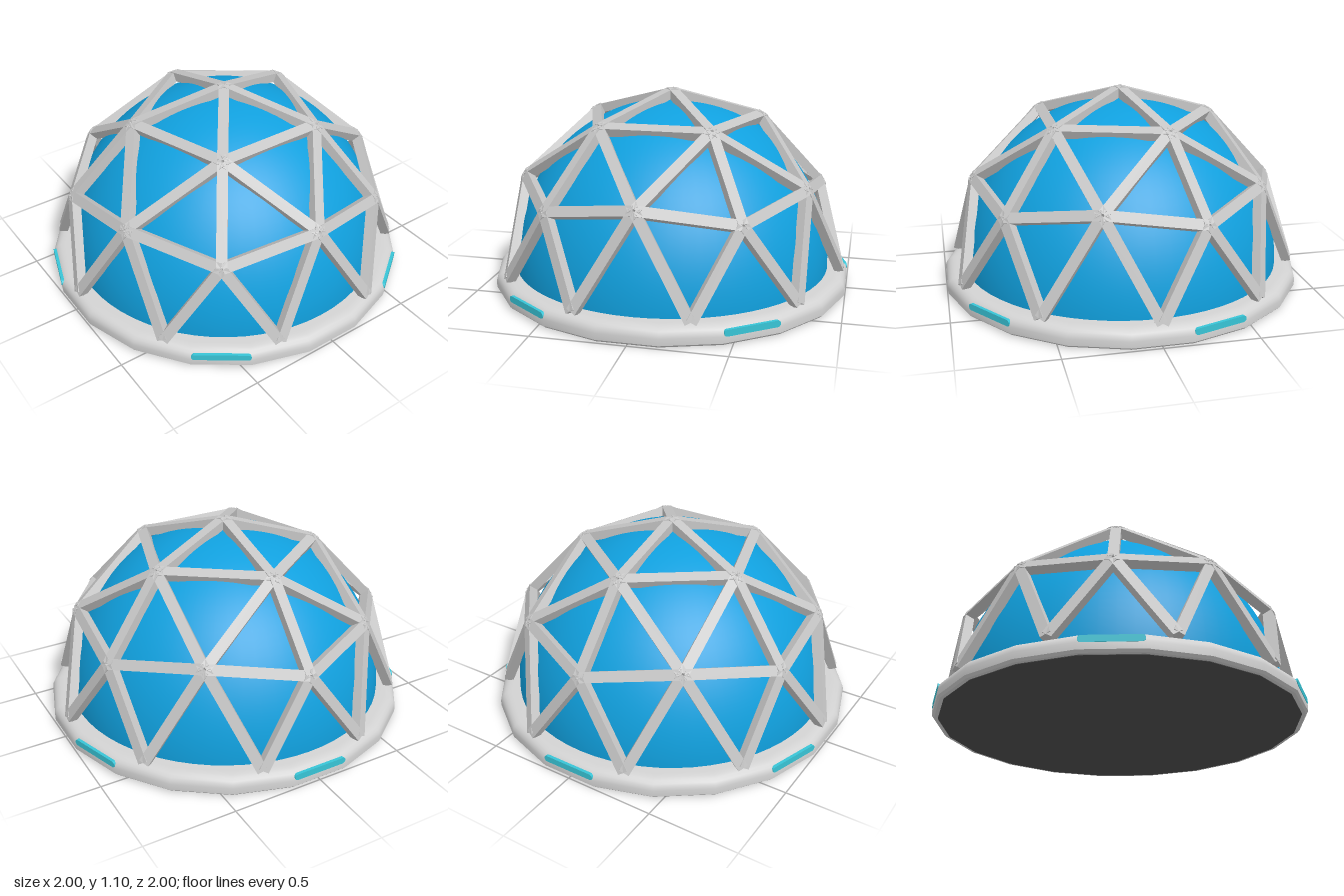
import * as THREE from 'three';
import { toCreasedNormals } from 'three/addons/utils/BufferGeometryUtils.js';

const SIDES = 20;             // sides of the foundation ring
const CENTRE_Y = 0.115;       // height of the dome's centre
const FRAME_R = 0.96;         // radius through the strut joints

const mat = (name, color) => {
  const m = new THREE.MeshStandardMaterial({ color });
  m.name = name;
  return m;
};

export function createModel() {
  const group = new THREE.Group();
  const frameGrey = mat('frame grey', 0xc6c6c6);
  const ringGrey = mat('ring grey', 0xd2d2d2);
  const domeBlue = mat('dome blue', 0x10a0de);
  const lightCyan = mat('light cyan', 0x38c4d6);
  const baseDark = mat('base dark', 0x4c4c4c);

  const add = (name, geometry, material, parent = group) => {
    const mesh = new THREE.Mesh(geometry, material);
    mesh.name = name;
    parent.add(mesh);
    return mesh;
  };

  // Foundation ring: rounded shoulder, flat sides facing the axes
  const k = 1 / Math.cos(Math.PI / SIDES);
  const profile = [[0.84, 0.003], [0.985, 0.003], [0.997, 0.015], [0.998, 0.05], [0.994, 0.068],
    [0.985, 0.083], [0.971, 0.095], [0.953, 0.102], [0.93, 0.105], [0.84, 0.105]]
    .map(([r, y]) => new THREE.Vector2(r * k, y));
  const ring = add('foundationRing',
    toCreasedNormals(new THREE.LatheGeometry(profile, SIDES), 0.6), ringGrey);
  ring.rotation.y = Math.PI / SIDES;

  // Dark underside
  const base = add('baseDisc', new THREE.CylinderGeometry(0.965 * k, 0.965 * k, 0.008, SIDES), baseDark);
  base.position.y = 0.004;
  base.rotation.y = Math.PI / SIDES;

  // Smooth inner dome
  const dome = add('innerDome',
    new THREE.SphereGeometry(1, 64, 32, 0, Math.PI * 2, 0, Math.PI * 0.52), domeBlue);
  dome.scale.set(0.892, 0.92, 0.892);
  dome.position.y = 0.11;

  // Joints of a two-frequency geodesic hemisphere, ring by ring
  const nodes = [new THREE.Vector3(0, FRAME_R, 0)];
  const addNodes = (polar, start, count) => {
    for (let i = 0; i < count; i++) {
      nodes.push(new THREE.Vector3().setFromSphericalCoords(FRAME_R,
        THREE.MathUtils.degToRad(polar), THREE.MathUtils.degToRad(start + i * 360 / count)));
    }
  };
  addNodes(31.717, 36, 5);
  addNodes(58.283, 0, 5);
  addNodes(63.435, 36, 5);
  addNodes(90, 18, 10);

  // A strut between every pair of neighbouring joints, except along the ground
  const frame = new THREE.Group();
  frame.name = 'geodesicFrame';
  frame.position.y = CENTRE_Y;
  group.add(frame);
  nodes.forEach((a, i) => nodes.slice(i + 1).forEach((b) => {
    const length = a.distanceTo(b);
    if (length > 0.7 * FRAME_R || (a.y < 0.01 && b.y < 0.01)) return;
    const strut = add('strut', new THREE.BoxGeometry(length, 0.05, 0.056), frameGrey, frame);
    const along = b.clone().sub(a).normalize();
    const out = a.clone().add(b).normalize();
    strut.position.copy(a).add(b).multiplyScalar(0.5);
    strut.quaternion.setFromRotationMatrix(
      new THREE.Matrix4().makeBasis(along, out, along.clone().cross(out)));
  }));

  // Five capsule-shaped lights set into the ring
  const r = 0.0175, h = 0.1375;
  const capsule = new THREE.Shape();
  capsule.absarc(h, 0, r, -Math.PI / 2, Math.PI / 2);
  capsule.absarc(-h, 0, r, Math.PI / 2, Math.PI * 1.5);
  const lightGeometry = new THREE.ExtrudeGeometry(capsule, { depth: 0.03, bevelEnabled: false, curveSegments: 8 });
  lightGeometry.translate(0, 0.067, 0.97);
  for (let i = 0; i < 5; i++) {
    add('ringLight', lightGeometry, lightCyan).rotation.y = THREE.MathUtils.degToRad(36 + 72 * i);
  }

  return group;
}
